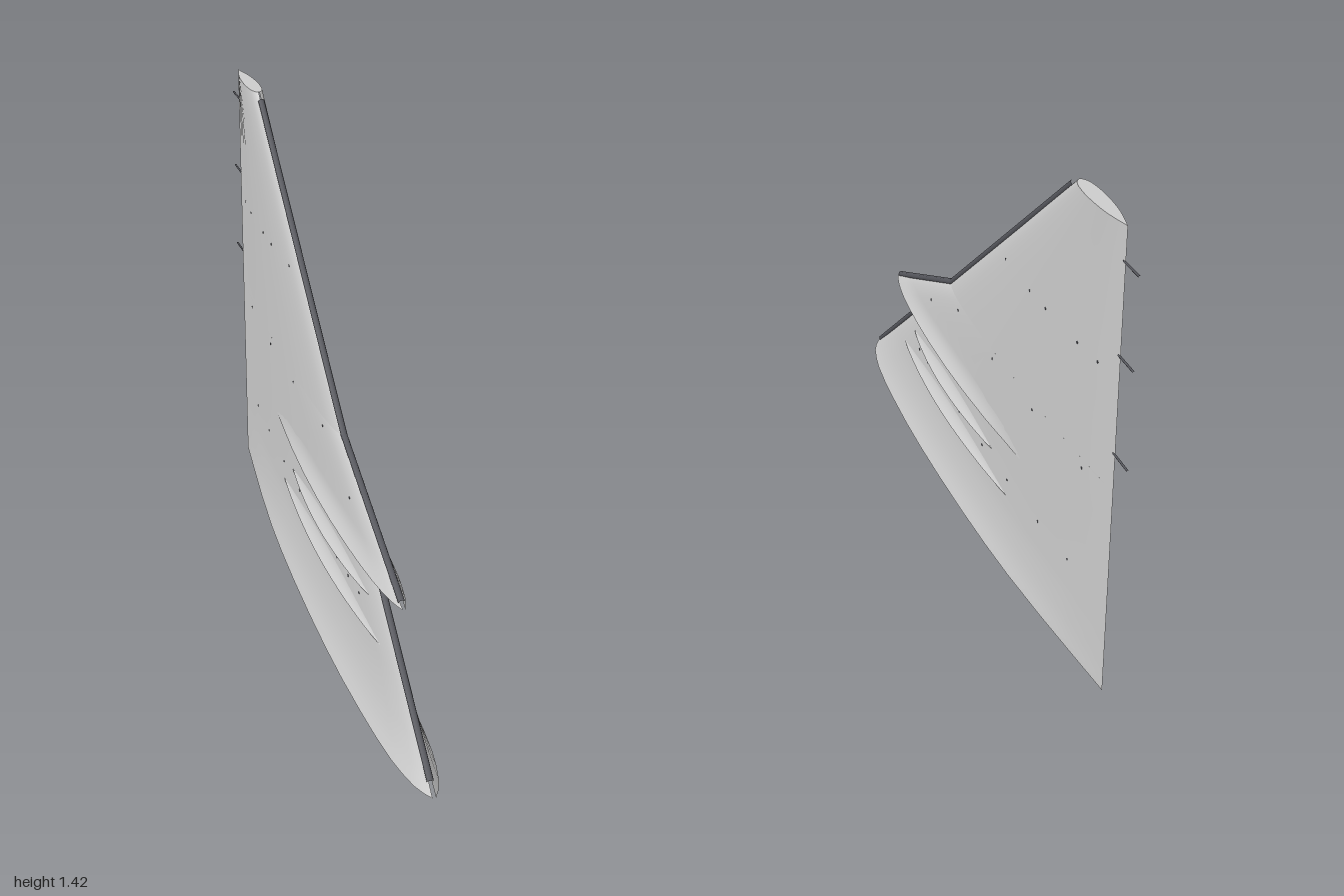
import * as THREE from 'three';
import { mergeGeometries } from 'three/addons/utils/BufferGeometryUtils.js';

const grey = new THREE.MeshStandardMaterial({ color: 0xcccccc });
const dark = new THREE.MeshStandardMaterial({ color: 0x55565c });
const TE = -0.93, TIP = 1.42;

// Piecewise-linear lookup through [position, value] pairs
function table(pairs, x) {
  for (let i = 1; i < pairs.length; i++) {
    const [x0, v0] = pairs[i - 1], [x1, v1] = pairs[i];
    if (x <= x1) return v0 + (v1 - v0) * Math.max(0, (x - x0) / (x1 - x0));
  }
  return pairs[pairs.length - 1][1];
}

// Half thickness along the chord (leading edge to trailing edge) and up the span
const foil = [[0, 0.06], [0.012, 0.24], [0.03, 0.43], [0.06, 0.6], [0.09, 0.72], [0.14, 0.83], [0.2, 0.91],
  [0.28, 0.98], [0.36, 1], [0.45, 0.98], [0.55, 0.92], [0.64, 0.83], [0.72, 0.71], [0.82, 0.49], [0.91, 0.25], [1, 0]];
const span = [[0, 0.083], [0.025, 0.073], [0.05, 0.064], [0.1, 0.052], [0.15, 0.044], [0.2, 0.04],
  [0.3, 0.037], [0.42, 0.035], [0.67, 0.032], [TIP, 0.023]];
const stations = foil.map(p => p[0]);

const finEdge = y => 1 - 1.176 * y;
const strakeEdge = y => 0.74 - 2.12 * (y - 0.42);
const half = (edge, y, z) => table(foil, (edge(y) - z) / (edge(y) - TE)) * table(span, y);
const chordZ = (edge, y, u) => edge(y) + (TE - edge(y)) * u;

// Two mirrored skins from point(i, j) -> [x, y, z], closed by flat end caps
function shell(name, cols, rows, point) {
  const parts = [];
  const add = (pos, idx) => {
    const g = new THREE.BufferGeometry();
    g.setAttribute('position', new THREE.Float32BufferAttribute(pos, 3));
    g.setIndex(idx);
    g.computeVertexNormals();
    parts.push(g);
  };
  for (const s of [1, -1]) {
    const pos = [], idx = [];
    for (let j = 0; j < rows; j++) for (let i = 0; i < cols; i++) {
      const [x, y, z] = point(i, j);
      pos.push(s * x, y, z);
      if (i + 1 < cols && j + 1 < rows) {
        const a = j * cols + i, b = a + 1, c = b + cols, d = a + cols;
        idx.push(...(s > 0 ? [a, b, c, a, c, d] : [a, c, b, a, d, c]));
      }
    }
    add(pos, idx);
  }
  for (const j of [0, rows - 1]) {
    const pos = [], idx = [];
    for (let i = 0; i < cols; i++) {
      const [x, y, z] = point(i, j);
      pos.push(-x, y, z, x, y, z);
      if (i + 1 < cols) {
        const l = 2 * i, r = l + 1;
        idx.push(...(j ? [l, r, r + 2, l, r + 2, l + 2] : [l, r + 2, r, l, l + 2, r + 2]));
      }
    }
    add(pos, idx);
  }
  const mesh = new THREE.Mesh(mergeGeometries(parts), grey);
  mesh.name = name;
  return mesh;
}

// Thin rod between two points in the centre plane, given as [y, z]
function rod(name, [y0, z0], [y1, z1], radius) {
  const path = new THREE.LineCurve3(new THREE.Vector3(0, y0, z0), new THREE.Vector3(0, y1, z1));
  const mesh = new THREE.Mesh(new THREE.TubeGeometry(path, 1, radius, 8), dark);
  mesh.name = name;
  return mesh;
}

// Wedge-shaped scoop on both flanks, flat underneath and fading out at both ends
function scoop(name, y0, zFront, zBack, height) {
  const cols = 25, rows = 7;
  return shell(name, cols, rows, (i, j) => {
    const s = i / (cols - 1), t = j / (rows - 1);
    const swell = Math.pow(Math.sin(Math.PI * s), 0.8);
    const y = y0 + height * t * swell, z = zFront + (zBack - zFront) * s;
    return [Math.max(0, half(finEdge, y, z) - 0.002 + 0.024 * swell * (1 - t) ** 2), y, z];
  });
}

export function createModel() {
  const model = new THREE.Group();
  model.name = 'tailFin';

  // Main swept fin with its flared root
  const finRows = [0, 0.025, 0.05, 0.075, 0.1, 0.15, 0.2, 0.3, 0.42, 0.55, 0.67, 0.9, 1.15, TIP];
  model.add(shell('fin', stations.length, finRows.length, (i, j) => {
    const y = finRows[j], z = chordZ(finEdge, y, stations[i]);
    return [half(finEdge, y, z), y, z];
  }));

  // Forward strake with a flared lower lip, blending back into the fin
  const strakeRows = [0.422, 0.432, 0.443, 0.455, 0.47, 0.49, 0.55, 0.61, 0.67];
  model.add(shell('strake', stations.length, strakeRows.length, (i, j) => {
    const y = strakeRows[j], z = chordZ(strakeEdge, y, stations[i]);
    const s = THREE.MathUtils.clamp((0.74 - z) / 1.12, 0, 1);
    const lip = 0.023 * Math.sin(Math.PI * s) ** 0.7 * Math.max(0, 1 - (y - 0.422) / 0.068) ** 2;
    return [half(strakeEdge, y, z) + lip, y, z];
  }));

  // Side scoops
  model.add(scoop('lowerScoop', 0.23, 0.64, -0.33, 0.056));
  model.add(scoop('upperScoop', 0.325, 0.53, -0.22, 0.052));

  // Leading edge strips
  model.add(
    rod('lowerEdgeStrip', [0.03, 0.967], [0.42, 0.508], 0.01),
    rod('strakeEdgeStrip', [0.433, 0.715], [0.67, 0.212], 0.01),
    rod('upperEdgeStrip', [0.67, 0.212], [1.4, -0.644], 0.01),
  );

  // Discharge wicks on the trailing edge
  for (const y of [1.325, 1.07, 0.785]) model.add(rod('dischargeWick', [y, -0.92], [y, -1], 0.003));

  // Fastener heads on both flanks
  const fasteners = [
    [0.29, [0.45, 0.36, 0.26, 0.06, -0.13, -0.32, -0.53, -0.71]],
    [0.54, [0.34]],
    [0.64, [0.09, -0.2, -0.48, -0.77]],
    [1.0, [-0.27, -0.45, -0.55, -0.73, -0.83]],
  ];
  const head = new THREE.CylinderGeometry(0.004, 0.004, 0.002, 8).rotateZ(Math.PI / 2);
  for (const [y, zs] of fasteners) for (const z of zs) for (const s of [1, -1]) {
    const x = Math.max(half(finEdge, y, z), y > 0.42 && y < 0.67 ? half(strakeEdge, y, z) : 0);
    const mesh = new THREE.Mesh(head, dark);
    mesh.name = 'fastener';
    mesh.position.set(s * x, y, z);
    model.add(mesh);
  }
  return model;
}
